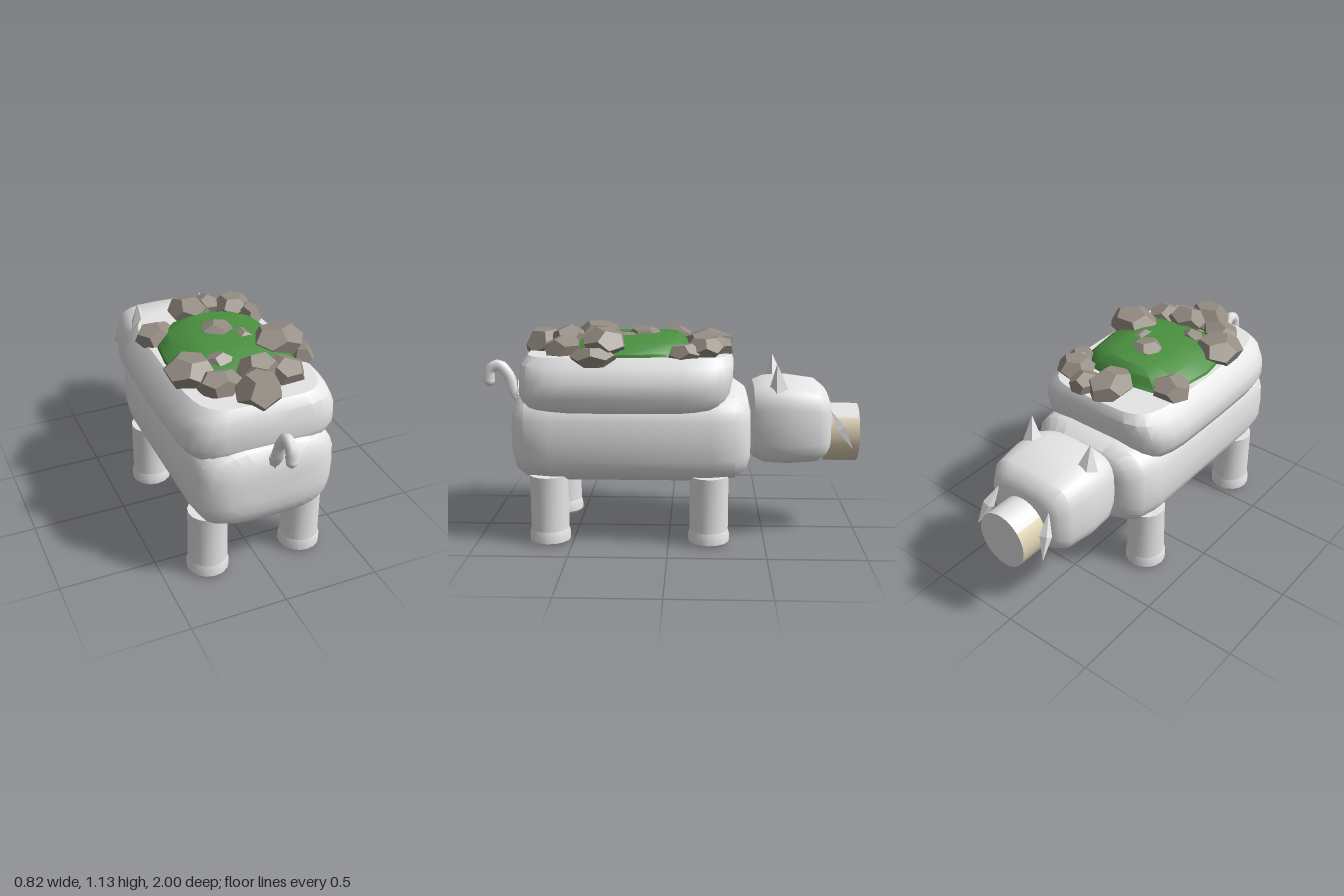
import * as THREE from 'three';
import { toCreasedNormals } from 'three/addons/utils/BufferGeometryUtils.js';

const material = (name, color) => {
  const m = new THREE.MeshStandardMaterial({ color });
  m.name = name;
  return m;
};

// Skins superellipse rings and closes both ends. Row: [position along axis, half width, half depth, centre].
function loft(rows, power, alongZ = false, sides = 28) {
  const pos = [], index = [];
  const bend = (t) => Math.sign(t) * Math.abs(t) ** (2 / power);
  const full = [[rows[0][0], 0, 0, rows[0][3]], ...rows, [rows.at(-1)[0], 0, 0, rows.at(-1)[3]]];
  for (const [p, a, b, c] of full) {
    for (let j = 0; j < sides; j++) {
      const t = (j / sides) * Math.PI * 2;
      pos.push(a * bend(Math.cos(t)), p, (alongZ ? -c : c) + b * bend(Math.sin(t)));
    }
  }
  for (let i = 0; i < full.length - 1; i++) {
    for (let j = 0; j < sides; j++) {
      const a = i * sides + j, b = i * sides + ((j + 1) % sides);
      const c = a + sides, d = b + sides;
      if (i > 0) index.push(a, c, b);
      if (i < full.length - 2) index.push(b, c, d);
    }
  }
  const g = new THREE.BufferGeometry();
  g.setAttribute('position', new THREE.Float32BufferAttribute(pos, 3));
  g.setIndex(index);
  if (alongZ) g.rotateX(Math.PI / 2);
  return toCreasedNormals(g, 0.6);
}

export function createModel() {
  const group = new THREE.Group();
  const hide = material('pale grey', 0xe6e6e6);
  const stone = material('stone', 0x958d83);
  const moss = material('moss green', 0x4a9040);
  const tan = material('tan', 0xdfd3b5);

  const add = (name, geometry, mat, x = 0, y = 0, z = 0) => {
    const mesh = new THREE.Mesh(geometry, mat);
    mesh.name = name;
    mesh.position.set(x, y, z);
    group.add(mesh);
    return mesh;
  };

  // Trunk, back slab and head
  add('body', loft([
    [-0.42, 0.24, 0.15, 0.57], [-0.4, 0.3, 0.2, 0.57], [-0.34, 0.35, 0.24, 0.57],
    [-0.22, 0.37, 0.25, 0.565], [0.6, 0.37, 0.25, 0.565], [0.73, 0.355, 0.235, 0.565],
    [0.785, 0.31, 0.2, 0.565], [0.815, 0.22, 0.13, 0.565], [0.82, 0.12, 0.07, 0.565],
  ], 3.4, true), hide);
  add('backSlab', loft([
    [0.7, 0.34, 0.49, 0.23], [0.73, 0.38, 0.525, 0.23], [0.79, 0.41, 0.545, 0.23],
    [0.87, 0.41, 0.55, 0.22], [0.94, 0.375, 0.55, 0.215], [0.985, 0.33, 0.52, 0.21],
  ], 5), hide);
  add('head', loft([
    [-0.84, 0.17, 0.13, 0.6], [-0.82, 0.215, 0.17, 0.61], [-0.77, 0.25, 0.205, 0.615],
    [-0.62, 0.268, 0.22, 0.62], [-0.5, 0.262, 0.215, 0.62], [-0.44, 0.235, 0.19, 0.62],
    [-0.41, 0.18, 0.14, 0.61],
  ], 3.6, true), hide);

  // Snout: tan cheeks, pale top, bottom and end; angles run from the bottom
  const arcs = [['snoutCheek', 20, 130, tan], ['snoutTop', 130, 230, hide],
    ['snoutCheek', 230, 340, tan], ['snoutBottom', 340, 380, hide]];
  for (const [name, start, end, mat] of arcs) {
    const rad = Math.PI / 180;
    const arc = new THREE.CylinderGeometry(0.14, 0.14, 0.18, 8, 1, true, start * rad, (end - start) * rad);
    arc.rotateX(Math.PI / 2).scale(1, 1.1, 1);
    add(name, arc, mat, 0, 0.545, -0.905);
  }
  const disc = new THREE.CircleGeometry(0.14, 24).rotateY(Math.PI).scale(1, 1.1, 1);
  add('snoutEnd', disc, hide, 0, 0.545, -0.995);

  for (const side of [-1, 1]) {
    // Ears
    const ear = add('ear', toCreasedNormals(new THREE.ConeGeometry(0.06, 0.15, 5), 0.3), hide, side * 0.18, 0.865, -0.56);
    ear.rotation.z = side * -0.1;
    ear.rotation.x = 0.12;

    // Tusks
    const from = new THREE.Vector3(side * 0.16, 0.7, -0.83);
    const to = new THREE.Vector3(side * 0.215, 0.5, -0.95);
    const tusk = add('tusk', new THREE.OctahedronGeometry(1), hide);
    tusk.scale.set(0.03, from.distanceTo(to) / 2, 0.03);
    tusk.position.copy(from).add(to).multiplyScalar(0.5);
    tusk.quaternion.setFromUnitVectors(new THREE.Vector3(0, 1, 0), to.clone().sub(from).normalize());

    // Legs and feet
    for (const z of [0.62, -0.21]) {
      add('leg', toCreasedNormals(new THREE.CylinderGeometry(0.1, 0.1, 0.3, 16), 0.6), hide, side * 0.258, 0.22, z);
      add('foot', loft([
        [0.005, 0.095, 0.095, 0], [0.02, 0.108, 0.107, 0], [0.055, 0.108, 0.107, 0], [0.08, 0.1, 0.1, 0],
      ], 2, false, 16), hide, side * 0.258, 0, z);
    }
  }

  // Hooked tail
  const tailPath = new THREE.CatmullRomCurve3([
    [0.8, 0.7], [0.835, 0.75], [0.865, 0.84], [0.915, 0.895], [0.96, 0.875], [0.972, 0.81],
  ].map(([z, y]) => new THREE.Vector3(0, y, z)));
  add('tail', new THREE.TubeGeometry(tailPath, 16, 0.03, 7), hide);
  add('tailTip', new THREE.SphereGeometry(0.03, 8, 6), hide, 0, 0.81, 0.97);
  const root = add('tailRoot', new THREE.OctahedronGeometry(1), hide, 0, 0.74, 0.815);
  root.scale.set(0.035, 0.08, 0.035);

  // Mossy mound on the back
  add('moss', loft([
    [0.96, 0.32, 0.36, 0.22], [1.0, 0.31, 0.33, 0.22], [1.045, 0.25, 0.28, 0.19], [1.075, 0.14, 0.18, 0.13],
  ], 3, false, 12), moss);

  // Boulders: x, y, z, half width, half height, half length
  const rocks = [
    [-0.02, 1.02, -0.2, 0.11, 0.08, 0.14], [0.1, 1.01, -0.25, 0.08, 0.06, 0.09],
    [0.22, 1.02, -0.18, 0.1, 0.07, 0.1], [0.28, 1.0, -0.08, 0.06, 0.06, 0.09],
    [-0.27, 1.01, -0.03, 0.11, 0.07, 0.1], [0, 1.06, 0.13, 0.09, 0.05, 0.09],
    [0.1, 1.05, 0.22, 0.05, 0.04, 0.08], [-0.26, 1.03, 0.4, 0.13, 0.08, 0.13],
    [-0.1, 1.03, 0.39, 0.08, 0.06, 0.06], [0.24, 1.05, 0.32, 0.14, 0.085, 0.12],
    [0.34, 0.99, 0.37, 0.06, 0.06, 0.12], [-0.17, 1.02, 0.55, 0.11, 0.07, 0.09],
    [0.04, 1.04, 0.53, 0.11, 0.085, 0.09], [0.17, 1.01, 0.54, 0.11, 0.07, 0.11],
    [-0.02, 1.0, 0.66, 0.12, 0.11, 0.11],
  ];
  rocks.forEach(([x, y, z, a, b, c], i) => {
    const rock = new THREE.DodecahedronGeometry(1);
    rock.rotateX(i * 1.3).rotateY(i * 2.1).scale(a, b, c);
    rock.computeVertexNormals();
    add('boulder', rock, stone, x, y, z);
  });

  return group;
}
